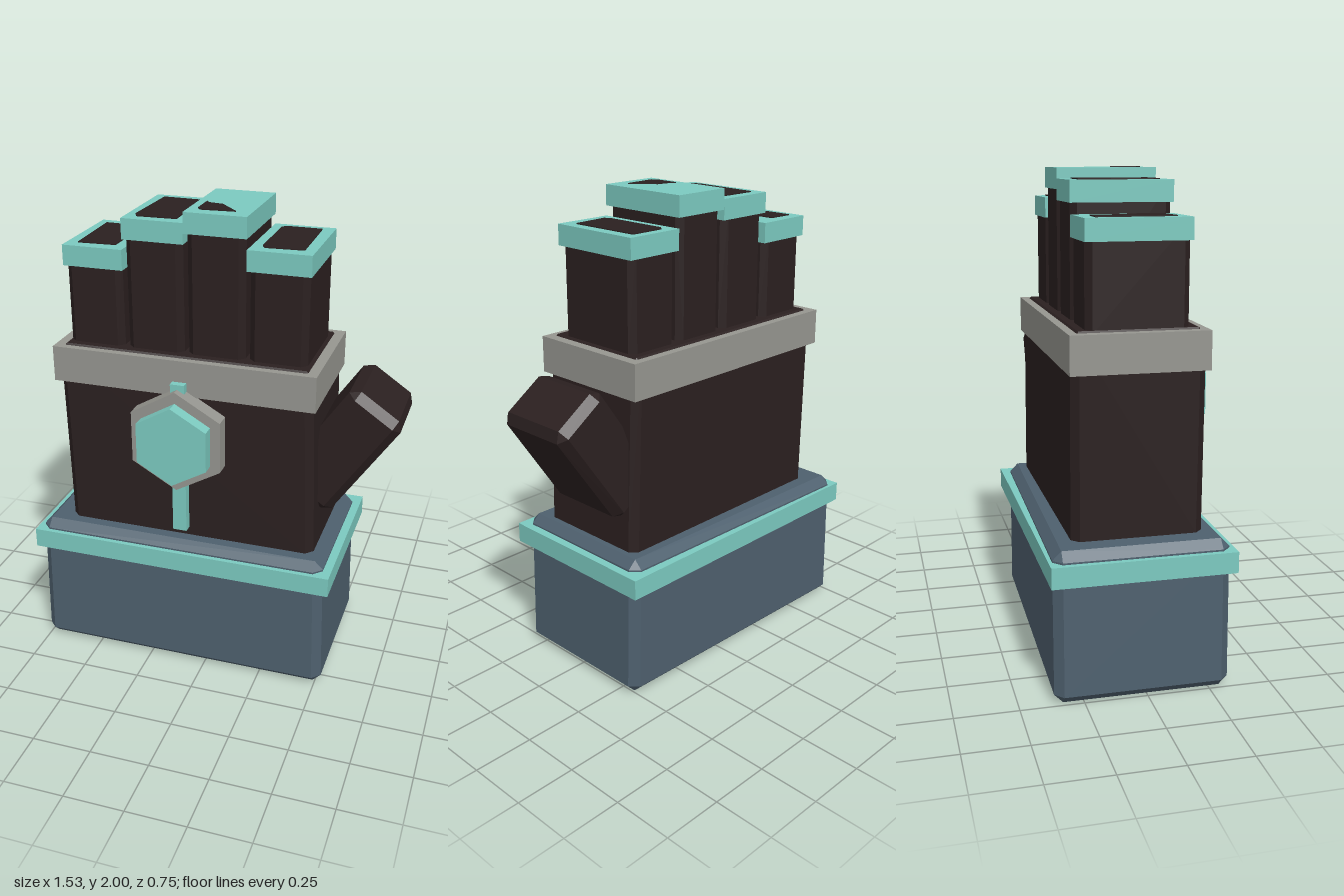
import * as THREE from 'three';
import { ConvexGeometry } from 'three/addons/geometries/ConvexGeometry.js';

const flat = (name, color) => {
  const m = new THREE.MeshStandardMaterial({ color });
  m.name = name;
  return m;
};

// Chamfered block between two corners; warp(p) may nudge each corner point.
function chamferBlock([x0, y0, z0], [x1, y1, z1], b, warp = () => {}) {
  const c = new THREE.Vector3((x0 + x1) / 2, (y0 + y1) / 2, (z0 + z1) / 2);
  const h = new THREE.Vector3((x1 - x0) / 2, (y1 - y0) / 2, (z1 - z0) / 2);
  const pts = [];
  for (const sx of [-1, 1]) for (const sy of [-1, 1]) for (const sz of [-1, 1]) {
    for (const axis of ['x', 'y', 'z']) {
      const p = h.clone().subScalar(b);
      p[axis] += b;
      p.multiply(new THREE.Vector3(sx, sy, sz)).add(c);
      warp(p);
      pts.push(p);
    }
  }
  return new ConvexGeometry(pts);
}

function block([x0, y0, z0], [x1, y1, z1]) {
  return new THREE.BoxGeometry(x1 - x0, y1 - y0, z1 - z0)
    .translate((x0 + x1) / 2, (y0 + y1) / 2, (z0 + z1) / 2);
}

// Pointed-top hexagonal plate facing +z.
function hexPlate(r, z0, z1) {
  return new THREE.CylinderGeometry(r, r, z1 - z0, 6).toNonIndexed()
    .rotateX(Math.PI / 2).translate(-0.115, 1.08, (z0 + z1) / 2);
}

export function createModel() {
  const leather = flat('dark leather', 0x2b2020);
  const slate = flat('slate cuff', 0x4e606e);
  const teal = flat('teal trim', 0x7ccac0);
  const grey = flat('grey metal', 0x969690);
  const model = new THREE.Group();
  model.name = 'gauntlet';

  const add = (name, geometry, material) => {
    geometry.computeVertexNormals();
    const mesh = new THREE.Mesh(geometry, material);
    mesh.name = name;
    model.add(mesh);
    return mesh;
  };

  // Cuff, a little uneven, with its trim band
  add('cuff', chamferBlock([-0.76, 0.005, -0.365], [0.525, 0.612, 0.33], 0.035, (p) => {
    if (p.y > 0.3) p.x -= Math.sign(p.x) * 0.012;
    if (p.z < 0) p.z += 0.025 * (p.x + 0.76) / 1.28;
  }), slate);
  add('cuffBand', block([-0.77, 0.485, -0.378], [0.548, 0.57, 0.35]), teal);

  // Palm and knuckle band
  add('palm', chamferBlock([-0.65, 0.58, -0.272], [0.44, 1.418, 0.25], 0.03, (p) => {
    if (p.y < 1) p.x += 0.015;
    else if (p.x > 0) p.x -= 0.012;
  }), leather);
  add('knuckleBand', block([-0.668, 1.26, -0.283], [0.447, 1.411, 0.258]), grey);

  // Fingers with square caps: left edge, cap top height, leather patch outline (x, z)
  const fingers = [
    [-0.628, 1.825, [[-0.59, -0.17], [-0.48, -0.165], [-0.475, -0.05], [-0.42, 0.04], [-0.42, 0.135], [-0.58, 0.145]]],
    [-0.37, 1.953, [[-0.325, -0.175], [-0.16, -0.17], [-0.155, 0.145], [-0.32, 0.15], [-0.335, 0.12]]],
    [-0.113, 1.996, [[-0.075, 0.01], [-0.06, 0.03], [0, 0.04], [0.08, 0.13], [-0.06, 0.14], [-0.075, 0.12]]],
    [0.143, 1.87, [[0.2, -0.18], [0.35, -0.18], [0.355, 0.135], [0.2, 0.145], [0.185, 0.12], [0.185, -0.16]]],
  ];
  fingers.forEach(([x, top, outline], i) => {
    const n = i + 1;
    add('finger' + n, chamferBlock([x + 0.009, 1.38, -0.212], [x + 0.247, top - 0.005, 0.188], 0.025), leather);
    add('fingerCap' + n, block([x, top - 0.085, -0.218], [x + 0.256, top, 0.193]), teal);
    const shape = new THREE.Shape(outline.map(([px, pz]) => new THREE.Vector2(px, -pz)));
    const patch = new THREE.ExtrudeGeometry(shape, { depth: 0.006, bevelEnabled: false });
    add('fingerTip' + n, patch.rotateX(-Math.PI / 2).translate(0, top - 0.002, 0), leather);
  });

  // Thumb leaning outward, narrower in depth at the tip
  const thumb = add('thumb', chamferBlock([-0.13, -0.265, -0.195], [0.13, 0.265, 0.195], 0.035, (p) => {
    if (p.y > 0) p.z *= 0.93;
  }), leather);
  thumb.position.set(0.525, 1.037, -0.045);
  thumb.rotation.z = -0.6;

  // Hexagonal badge over a vertical strip
  add('badgeStrip', block([-0.145, 0.65, 0.24], [-0.085, 1.32, 0.288]), teal);
  add('badgeRim', hexPlate(0.22, 0.24, 0.32), grey);
  add('badgeFace', hexPlate(0.172, 0.3, 0.375), teal);

  return model;
}
